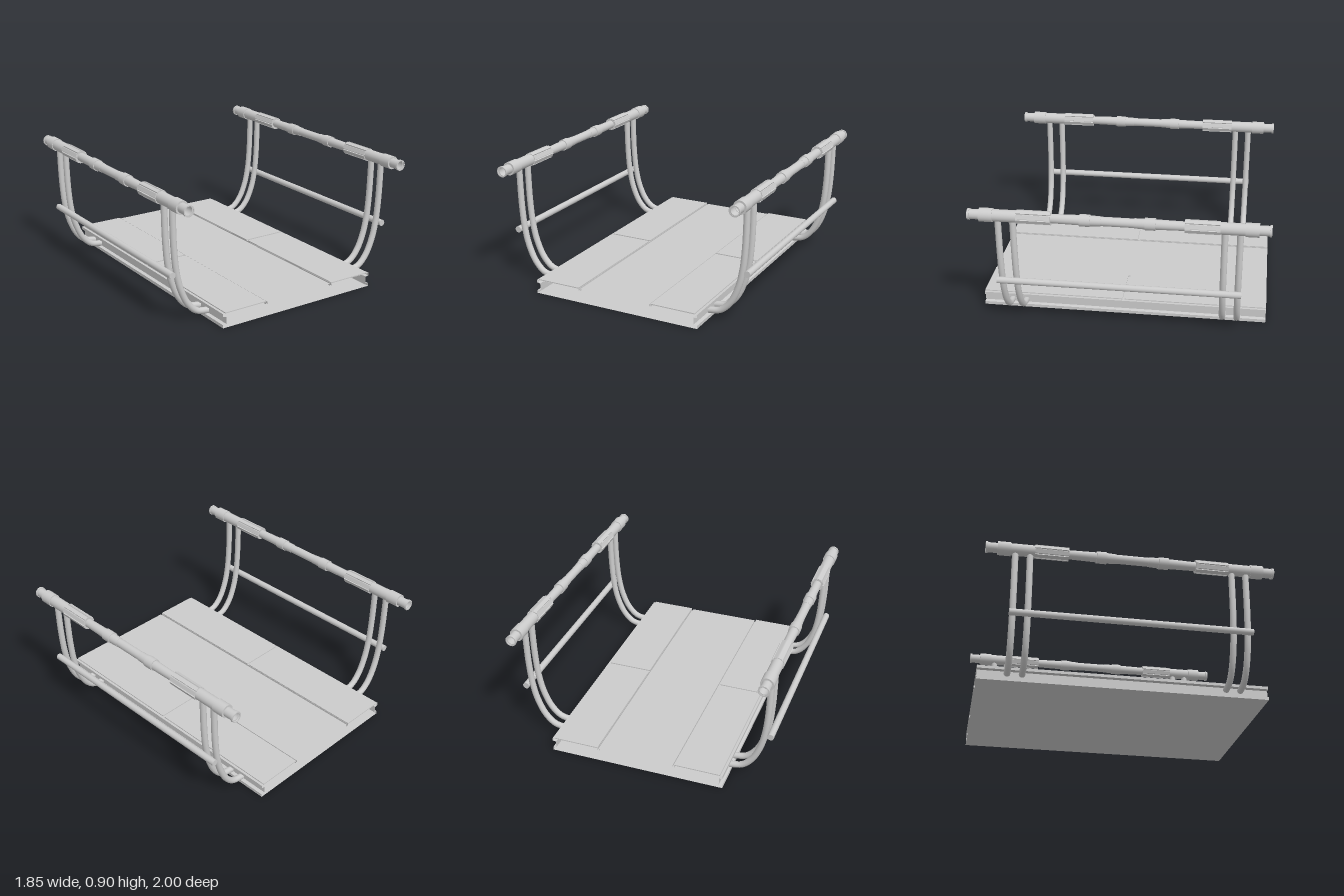
import * as THREE from 'three';

const smooth = new THREE.MeshStandardMaterial({ color: 0xcccccc, side: THREE.DoubleSide });
const flat = new THREE.MeshStandardMaterial({ color: 0xcccccc, side: THREE.DoubleSide, flatShading: true });

function add(parent, name, geometry, material = smooth) {
  const mesh = new THREE.Mesh(geometry, material);
  mesh.name = name;
  parent.add(mesh);
  return mesh;
}

// Thin sheet: an outline in x,y swept along the full length in z
function sheet(points, z0 = -1, z1 = 1) {
  const geo = new THREE.PlaneGeometry(1, 1, points.length - 1, 1);
  const pos = geo.attributes.position;
  for (let i = 0; i < pos.count; i++) {
    const [x, y] = points[i % points.length];
    pos.setXYZ(i, x, y, i < points.length ? z0 : z1);
  }
  const out = geo.toNonIndexed();
  out.computeVertexNormals();
  return out;
}

// Straight sections of the hollow rail: z start, z end, start radius, end radius
const railSections = [
  [0, 0.11, 0.031, 0.031],
  [0.11, 0.18, 0.033, 0.036],
  [0.18, 0.25, 0.041, 0.041],
  [0.25, 0.44, 0.034, 0.031],
  [0.44, 0.67, 0.041, 0.041],
  [0.67, 0.83, 0.041, 0.041],
  [0.83, 0.92, 0.047, 0.047],
  [0.92, 0.985, 0.034, 0.034],
  [0.985, 1, 0.039, 0.039],
];

function makeRail() {
  const rail = new THREE.Group();
  rail.name = 'handRail';
  for (const end of [1, -1]) {
    railSections.forEach(([z0, z1, r0, r1]) => {
      // Each section closes with a ring step down to the bore
      const profile = [[0.031, z0], [r0, z0], [r1, z1], [0.031, z1]];
      for (let i = 0; i < 3; i++) {
        const pts = profile.slice(i, i + 2).map(([r, z]) => new THREE.Vector2(r, z));
        if (pts[0].distanceTo(pts[1]) < 1e-5) continue;
        const geo = new THREE.LatheGeometry(pts, 24);
        geo.rotateX(end * Math.PI / 2);
        add(rail, 'railSection', geo);
      }
    });
    // Long ribs around the grip
    for (let k = 0; k < 8; k++) {
      const a = (k + 0.5) * Math.PI / 4;
      const rib = add(rail, 'gripRib', new THREE.BoxGeometry(0.008, 0.027, 0.23), flat);
      rib.position.set(Math.cos(a) * 0.042, Math.sin(a) * 0.042, end * 0.555);
      rib.rotation.z = a;
    }
  }
  return rail;
}

export function createModel() {
  const model = new THREE.Group();
  model.name = 'stretcherFrame';

  // Hollow deck, open at both ends, with recessed sides and two top grooves
  const half = [
    [0, 0], [0.625, 0], [0.625, 0.022], [0.6, 0.026], [0.6, 0.076], [0.625, 0.08],
    [0.625, 0.1], [0.282, 0.1], [0.282, 0.085], [0.27, 0.085], [0.27, 0.1], [0, 0.1],
  ];
  const deck = new THREE.Group();
  deck.name = 'deck';
  model.add(deck);
  for (const side of [1, -1]) {
    add(deck, 'deckShell', sheet(half.map(([x, y]) => [x * side, y])), flat);
    // Thin raised side panels, split in the middle
    for (const end of [1, -1]) {
      const panel = add(deck, 'sidePanel', new THREE.BoxGeometry(0.325, 0.007, 0.992), flat);
      panel.position.set(side * 0.445, 0.1045, end * 0.504);
    }
  }

  const legPath = [
    [0.876, 0.85], [0.875, 0.75], [0.869, 0.55], [0.854, 0.39], [0.825, 0.26],
    [0.77, 0.14], [0.7, 0.072], [0.615, 0.054],
  ];
  for (const side of [1, -1]) {
    // Hand rail
    const rail = makeRail();
    rail.position.set(side * 0.877, 0.852, 0);
    model.add(rail);

    // Paired curved uprights
    const curve = new THREE.CatmullRomCurve3(
      legPath.map(([x, y]) => new THREE.Vector3(side * x, y, 0)), false, 'centripetal');
    for (const z of [-0.8, -0.7, 0.7, 0.8]) {
      const upright = add(model, 'curvedUpright', new THREE.TubeGeometry(curve, 40, 0.022, 16));
      upright.position.z = z;
      const cap = add(model, 'uprightEnd', new THREE.CircleGeometry(0.022, 16));
      cap.rotation.y = Math.PI / 2;
      cap.position.set(side * 0.615, 0.054, z);
      const top = add(model, 'uprightTop', new THREE.CircleGeometry(0.022, 16));
      top.rotation.x = -Math.PI / 2;
      top.position.set(side * 0.876, 0.85, z);
    }

    // Side bar along the outside of the uprights
    const bar = add(model, 'sideBar', new THREE.CylinderGeometry(0.023, 0.023, 1.65, 20));
    bar.rotation.x = Math.PI / 2;
    bar.position.set(side * 0.895, 0.37, 0);
  }
  return model;
}
